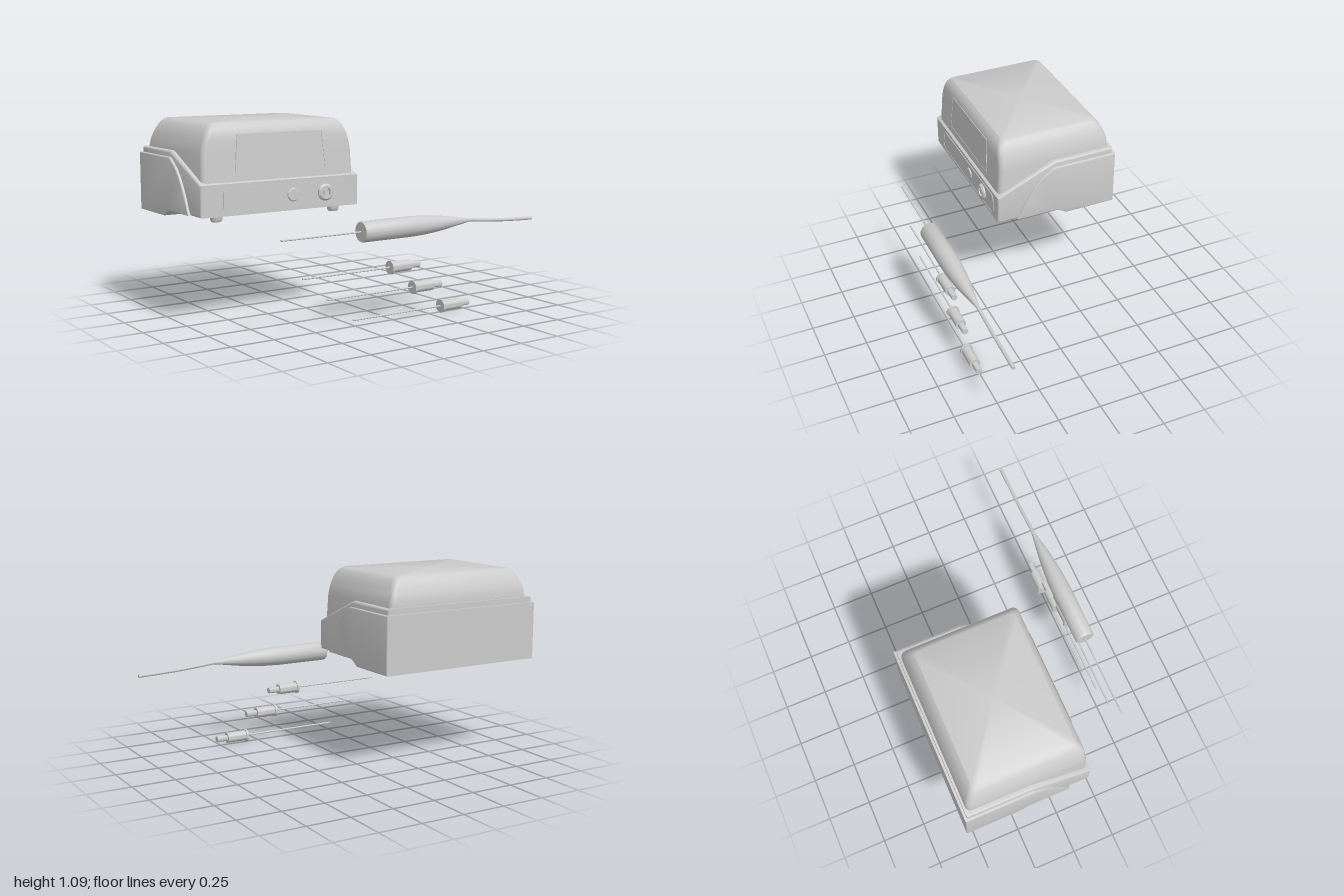
import * as THREE from 'three';
import { toCreasedNormals } from 'three/addons/utils/BufferGeometryUtils.js';

const CX = -0.495; // middle of the console
const material = new THREE.MeshStandardMaterial({ color: 0xcccccc, side: THREE.DoubleSide });

function add(parent, name, geometry, x = 0, y = 0, z = 0) {
  const mesh = new THREE.Mesh(geometry, material);
  mesh.name = name;
  mesh.position.set(x, y, z);
  parent.add(mesh);
  return mesh;
}

const shapeOf = (pts) => new THREE.Shape(pts.map(([a, b]) => new THREE.Vector2(a, b)));

// Extrudes a (z, y) side profile across x, centred on x = 0, with softened edges
function sideExtrude(shape, width, bevel) {
  const g = new THREE.ExtrudeGeometry(shape, {
    depth: width - 2 * bevel, bevelEnabled: true, bevelSize: bevel, bevelThickness: bevel,
    bevelOffset: -bevel, bevelSegments: 3, curveSegments: 10,
  });
  g.translate(0, 0, bevel - width / 2).rotateY(-Math.PI / 2);
  return toCreasedNormals(g, 0.6);
}

// Lathe from (axial position, radius) pairs, turned about the x axis
function turnedX(pts, sides) {
  const g = new THREE.LatheGeometry(pts.map(([a, r]) => new THREE.Vector2(r, a)), sides);
  return toCreasedNormals(g.rotateZ(-Math.PI / 2), 0.6);
}

// Same, turned about the z axis
function turnedZ(pts, sides) {
  const g = new THREE.LatheGeometry(pts.map(([a, r]) => new THREE.Vector2(r, a)), sides);
  return toCreasedNormals(g.rotateX(Math.PI / 2), 0.6);
}

// Stack of rounded rectangles: [y, half width, front z, back z], closed on top
function coverGeometry(levels, radius, steps) {
  const pos = [], idx = [];
  const n = 4 * (steps + 1);
  for (const [y, hw, zf, zb] of levels) {
    const hz = (zf - zb) / 2, zc = (zf + zb) / 2;
    for (let c = 0; c < 4; c++) {
      const sx = c === 0 || c === 3 ? 1 : -1, sz = c < 2 ? 1 : -1;
      for (let s = 0; s <= steps; s++) {
        const a = (c + s / steps) * Math.PI / 2;
        pos.push(sx * (hw - radius) + radius * Math.cos(a), y, zc + sz * (hz - radius) + radius * Math.sin(a));
      }
    }
  }
  for (let l = 0; l < levels.length - 1; l++) {
    for (let i = 0; i < n; i++) {
      const a = l * n + i, b = l * n + (i + 1) % n;
      idx.push(a, a + n, b, b, a + n, b + n);
    }
  }
  const top = levels[levels.length - 1], last = (levels.length - 1) * n;
  pos.push(0, top[0], (top[2] + top[3]) / 2);
  for (let i = 0; i < n; i++) idx.push(levels.length * n, last + (i + 1) % n, last + i);
  const g = new THREE.BufferGeometry();
  g.setAttribute('position', new THREE.Float32BufferAttribute(pos, 3));
  g.setIndex(idx);
  return toCreasedNormals(g, 0.7);
}

function roundedRect(w, h, r) {
  const s = new THREE.Shape();
  s.moveTo(-w / 2 + r, -h / 2);
  s.lineTo(w / 2 - r, -h / 2);
  s.absarc(w / 2 - r, -h / 2 + r, r, -Math.PI / 2, 0);
  s.absarc(w / 2 - r, h / 2 - r, r, 0, Math.PI / 2);
  s.absarc(-w / 2 + r, h / 2 - r, r, Math.PI / 2, Math.PI);
  s.absarc(-w / 2 + r, -h / 2 + r, r, Math.PI, Math.PI * 1.5);
  return s;
}

const plate = (shape, depth) => new THREE.ExtrudeGeometry(shape, { depth, bevelEnabled: false, curveSegments: 8 });

function createConsole() {
  const unit = new THREE.Group();
  unit.name = 'console';

  // Base with sloping shoulder and the rear shell that wraps around it
  const base = shapeOf([[0.165, 0.605], [0.165, 0.775], [-0.19, 0.93], [-0.552, 0.93], [-0.552, 0.605]]);
  add(unit, 'base', sideExtrude(base, 0.982, 0.012), CX);

  const shell = new THREE.Shape();
  shell.moveTo(0.045, 0.604);
  shell.lineTo(0, 0.698);
  shell.bezierCurveTo(-0.05, 0.79, -0.09, 0.85, -0.18, 0.897);
  shell.lineTo(-0.565, 0.897);
  shell.lineTo(-0.565, 0.57);
  shell.lineTo(-0.26, 0.57);
  shell.lineTo(-0.2, 0.604);
  add(unit, 'rearShell', sideExtrude(shell, 1.01, 0.006), CX);

  // Rounded top cover
  add(unit, 'topCover', coverGeometry([
    [0.72, 0.472, 0.154, -0.54], [0.93, 0.465, 0.14, -0.54], [0.97, 0.457, 0.137, -0.538],
    [1.0, 0.448, 0.135, -0.53], [1.03, 0.436, 0.131, -0.519], [1.06, 0.42, 0.121, -0.505],
    [1.08, 0.403, 0.106, -0.489], [1.09, 0.388, 0.095, -0.479],
  ], 0.03, 5), CX);

  // Screen with a thin bezel, leaning with the front of the cover
  const outline = [[-0.283, -0.103], [0.283, -0.103], [0.268, 0.103], [-0.262, 0.103]];
  const bezel = shapeOf(outline);
  bezel.holes.push(new THREE.Path(outline.map(([a, b]) => new THREE.Vector2(a * 0.98, b * 0.945))));
  const screen = new THREE.Group();
  screen.name = 'screen';
  screen.position.set(-0.492, 0.928, 0.14);
  screen.rotation.x = -0.067;
  add(screen, 'screenBezel', plate(bezel, 0.004));
  add(screen, 'screenGlass', plate(shapeOf(outline), 0.002));
  unit.add(screen);

  // Control strip with raised rim, button and socket
  const rim = roundedRect(0.785, 0.13, 0.03);
  rim.holes.push(roundedRect(0.775, 0.12, 0.026));
  add(unit, 'controlStrip', plate(roundedRect(0.785, 0.13, 0.03), 0.003), -0.463, 0.69, 0.164);
  add(unit, 'controlStripRim', plate(rim, 0.005), -0.463, 0.69, 0.164);
  add(unit, 'button', turnedZ([[0, 0.036], [0.008, 0.036], [0.012, 0.032], [0.012, 0]], 32), -0.43, 0.69, 0.163);
  add(unit, 'socket', turnedZ([
    [0, 0.047], [0.013, 0.047], [0.021, 0.038], [0.021, 0.025], [0.008, 0.025], [0.008, 0.014], [0.018, 0.014], [0.018, 0],
  ], 32), -0.225, 0.69, 0.163);

  // Front feet
  for (const side of [-1, 1]) {
    const foot = new THREE.LatheGeometry([[0, 0], [0.026, 0], [0.033, 0.014], [0.033, 0.04]]
      .map(([r, y]) => new THREE.Vector2(r, y)), 24);
    add(unit, 'frontFoot', toCreasedNormals(foot, 0.6), CX + side * 0.367, 0.57, 0.095);
  }
  return unit;
}

function createHandpiece() {
  const tool = new THREE.Group();
  tool.name = 'handpiece';
  tool.position.set(0, 0.513, 0.508);
  add(tool, 'handle', turnedX([
    [-0.22, 0], [-0.22, 0.053], [-0.214, 0.057], [0.1, 0.057], [0.2, 0.053], [0.28, 0.046],
    [0.36, 0.036], [0.44, 0.023], [0.49, 0.015], [0.53, 0.009], [0.53, 0],
  ], 18));
  add(tool, 'probe', turnedX([[-0.71, 0], [-0.71, 0.005], [-0.21, 0.005]], 12));
  const path = new THREE.CatmullRomCurve3([[0.5, 0.003], [0.62, -0.009], [0.8, -0.022], [1, -0.03]]
    .map(([x, y]) => new THREE.Vector3(x, y, 0)));
  add(tool, 'cable', new THREE.TubeGeometry(path, 20, 0.01, 12));
  add(tool, 'cableEnd', new THREE.CircleGeometry(0.01, 12).rotateY(Math.PI / 2), 0.999, -0.03, 0);
  return tool;
}

// Spare tip: long needle, flanged hub and plug
function createTip(x, y, length) {
  const tip = new THREE.Group();
  tip.name = 'spareTip';
  tip.position.set(x, y, 0.51);
  add(tip, 'needle', turnedX([[-length, 0], [-length, 0.005], [0.01, 0.005]], 12));
  add(tip, 'hub', turnedX([
    [0, 0], [0, 0.037], [0.013, 0.037], [0.013, 0.031], [0.133, 0.031], [0.133, 0.018], [0.199, 0.018], [0.199, 0],
  ], 24));
  return tip;
}

export function createModel() {
  const model = new THREE.Group();
  model.name = 'benchInstrument';
  model.add(createConsole(), createHandpiece());
  for (const [x, y, length] of [[-0.033, 0.301, 0.552], [0.122, 0.172, 0.557], [0.321, 0.041, 0.591]]) {
    model.add(createTip(x, y, length));
  }
  return model;
}
